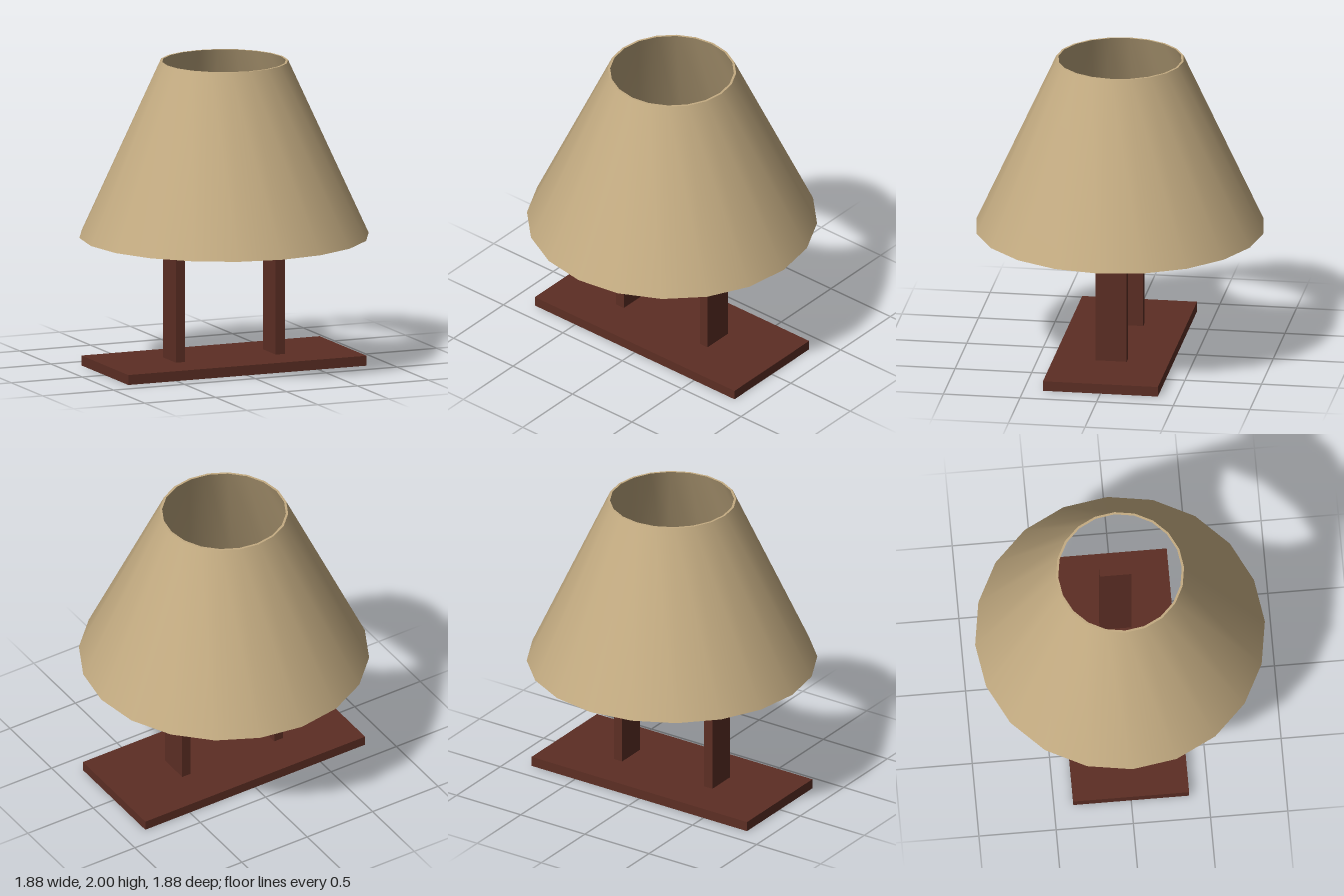
import * as THREE from 'three';
import { toCreasedNormals } from 'three/addons/utils/BufferGeometryUtils.js';

export function createModel() {
  const model = new THREE.Group();
  model.name = 'tableLamp';

  const wood = new THREE.MeshStandardMaterial({ color: 0x5c2e24 });
  wood.name = 'dark red wood';
  const fabric = new THREE.MeshStandardMaterial({ color: 0xc4ac82 });
  fabric.name = 'tan fabric';

  // Box resting on a given height
  function board(name, w, h, d, x, bottom) {
    const mesh = new THREE.Mesh(new THREE.BoxGeometry(w, h, d), wood);
    mesh.name = name;
    mesh.position.set(x, bottom + h / 2, 0);
    model.add(mesh);
  }

  // Base plank and the two uprights standing on it
  const baseTop = 0.065;
  board('base', 1.68, baseTop, 0.75, 0, 0);
  for (const side of [-1, 1]) {
    board(side > 0 ? 'leftPost' : 'rightPost', 0.065, 1.07 - baseTop, 0.205, side * 0.352, baseTop);
  }

  // Thin-walled open cone: up the outside, over the rim, down the inside
  const profile = [
    [0.938, 0.855], [0.415, 2], [0.4, 2], [0.922, 0.855], [0.938, 0.855],
  ].map(([r, y]) => new THREE.Vector2(r, y));
  const shade = new THREE.Mesh(
    toCreasedNormals(new THREE.LatheGeometry(profile, 20), 0.6),
    fabric,
  );
  shade.name = 'lampShade';
  model.add(shade);

  return model;
}
